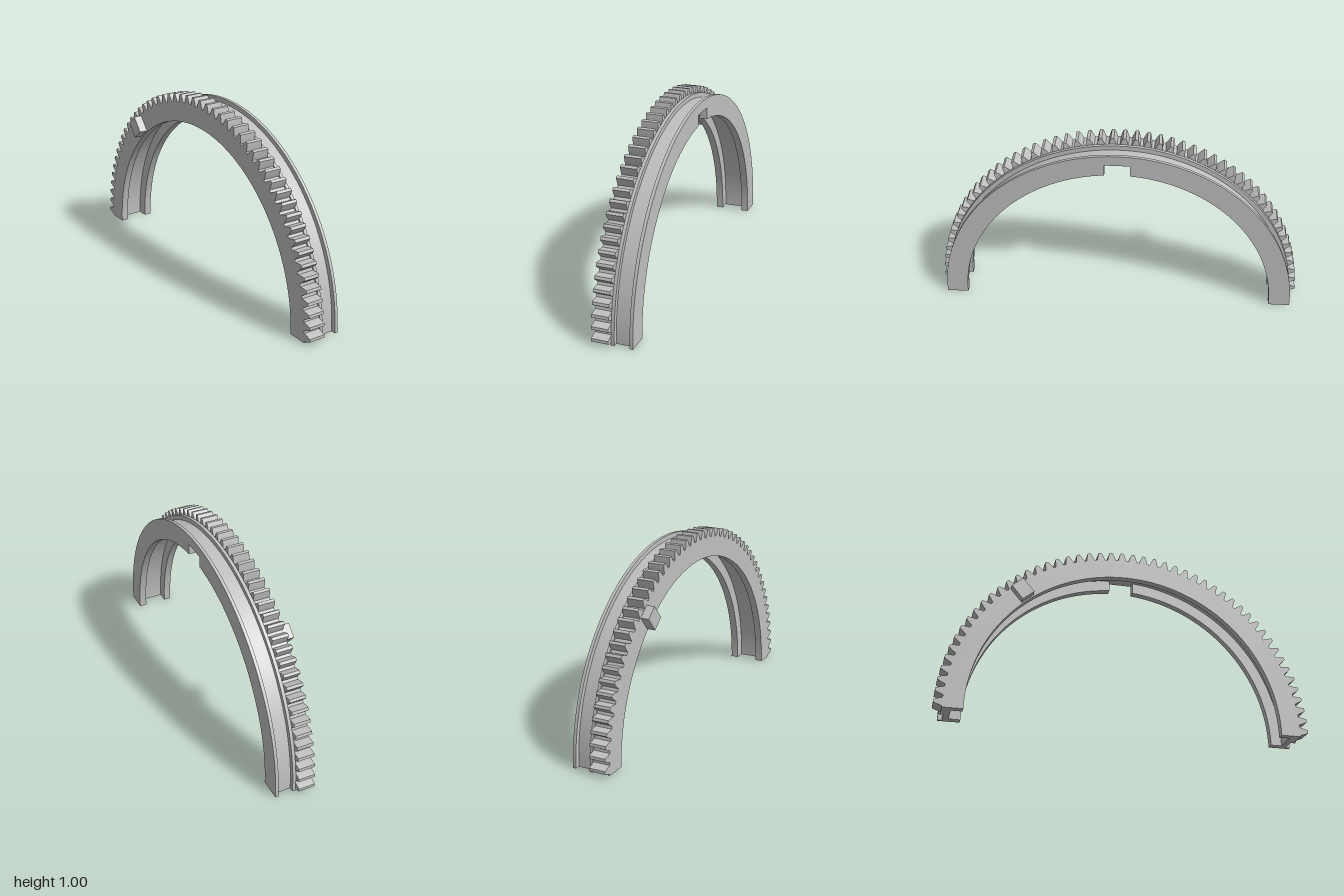
import * as THREE from 'three';
import { toCreasedNormals } from 'three/addons/utils/BufferGeometryUtils.js';

const INNER = 0.848, FLOOR = 0.908, DRUM = 0.94, FLANGE = 0.965; // radii
const TEETH = 100, ROOT = 0.956, TIP = 1;                        // full-circle gear
const NOTCH = 0.067;                                             // half width

const polar = (r, a) => new THREE.Vector2(r * Math.cos(a), r * Math.sin(a));

function arc(r, from, to, n = 120) {
  return Array.from({ length: n + 1 }, (_, i) => polar(r, from + (to - from) * i / n));
}

// Half gear outline with involute flanks, running from angle 0 to PI
function gearOutline() {
  const pitch = 0.98, base = pitch * Math.cos(Math.PI / 9);
  const inv = (a) => Math.tan(a) - a;
  const half = (r) => Math.PI / (2 * TEETH) + inv(Math.PI / 9) - inv(Math.acos(base / r));
  const step = 2 * Math.PI / TEETH, n = 4;
  const pts = [polar(ROOT, 0)];
  for (let t = 0; t < TEETH / 2; t++) {
    const c = (t + 0.5) * step;
    for (let side = -1; side <= 1; side += 2) {
      for (let i = 0; i <= n; i++) {
        const k = side < 0 ? i : n - i;
        const r = ROOT + (TIP - ROOT) * k / n;
        pts.push(polar(r, c + side * half(r)));
      }
    }
  }
  pts.push(polar(ROOT, Math.PI));
  return pts;
}

// Inner edge from PI back to 0, with a square notch at the crown
function notchedInner() {
  const a = Math.asin(NOTCH / INNER), q = Math.PI / 2;
  return [
    ...arc(INNER, Math.PI, q + a, 60),
    new THREE.Vector2(-NOTCH, FLOOR), new THREE.Vector2(NOTCH, FLOOR),
    ...arc(INNER, q - a, 0, 60),
  ];
}

export function createModel() {
  const group = new THREE.Group();
  const grey = new THREE.MeshStandardMaterial({ color: 0xc0c0c0 });
  grey.name = 'grey';

  // Half-ring slab between two x positions
  function slab(name, x0, x1, outer, inner) {
    const shape = new THREE.Shape([...outer, ...inner]);
    let geo = new THREE.ExtrudeGeometry(shape, { depth: x1 - x0, bevelEnabled: false });
    geo.rotateY(Math.PI / 2).translate(x0, 0, 0);
    geo = toCreasedNormals(geo, 0.45);
    const mesh = new THREE.Mesh(geo, grey);
    mesh.name = name;
    group.add(mesh);
  }

  const out = (r) => arc(r, 0, Math.PI);
  const inn = (r) => arc(r, Math.PI, 0);
  const gear = gearOutline();

  // Toothed side: full-depth wall, then the rim over the inner channel
  slab('gearWall', -0.08, -0.04, gear, inn(INNER));
  slab('gearRim', -0.04, 0.01, gear, inn(FLOOR));

  // Grooved drum beside the gear
  slab('innerFlange', 0.01, 0.027, out(FLANGE), inn(FLOOR));
  slab('drum', 0.027, 0.083, out(DRUM), inn(FLOOR));

  // Far wall with the crown notch, ending in the outer flange
  slab('notchedWall', 0.083, 0.107, out(DRUM), notchedInner());
  slab('outerFlange', 0.107, 0.124, out(FLANGE), notchedInner());

  // Stop block on the toothed face, aligned to the radius
  const block = new THREE.Mesh(new THREE.BoxGeometry(0.046, 0.096, 0.078), grey);
  block.name = 'stopBlock';
  const lean = THREE.MathUtils.degToRad(40);
  block.position.set(-0.102, 0.903 * Math.cos(lean), -0.903 * Math.sin(lean));
  block.rotation.x = -lean;
  group.add(block);

  return group;
}
